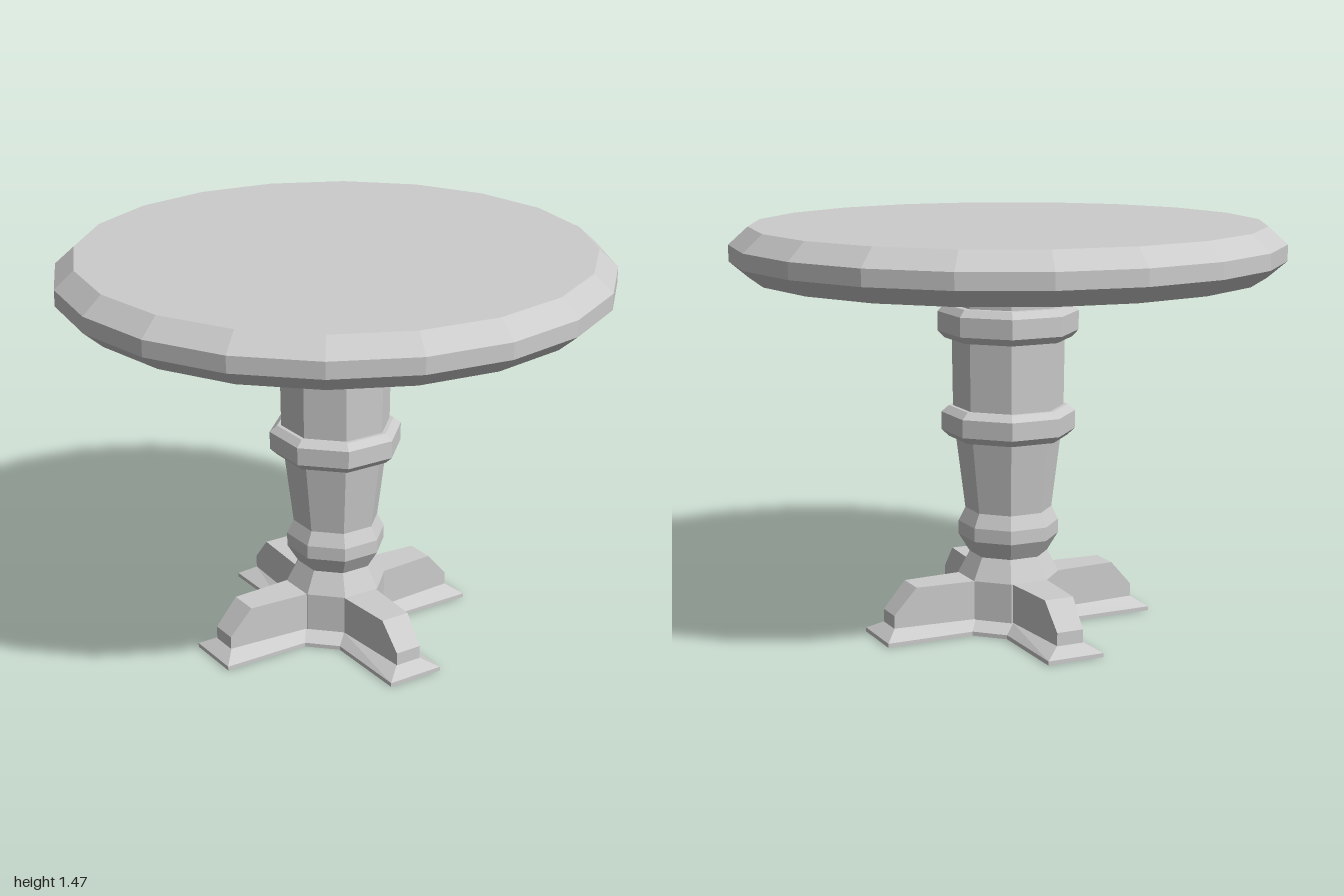
import * as THREE from 'three';

const material = new THREE.MeshStandardMaterial({ color: 0xcccccc, flatShading: true });
const LEG_TURN = THREE.MathUtils.degToRad(-37);

function part(name, geometry) {
  const mesh = new THREE.Mesh(geometry, material);
  mesh.name = name;
  return mesh;
}

// Faceted turned part from [radius, y] pairs, listed bottom to top
function turned(name, profile, sides, phase = 0) {
  const points = profile.map(([r, y]) => new THREE.Vector2(r, y));
  return part(name, new THREE.LatheGeometry(points, sides, phase));
}

// Four-armed outline: inner corner (a, b), arm length and half-width at the tip
function crossRing({ y, a, b, length, w }) {
  const arm = [[a, -b], [length, -w], [length, w], [a, b]];
  const ring = [];
  for (let k = 0; k < 4; k++) {
    const c = Math.round(Math.cos(k * Math.PI / 2)), s = Math.round(Math.sin(k * Math.PI / 2));
    for (const [x, z] of arm) ring.push([x * c - z * s, y, x * s + z * c]);
  }
  return ring;
}

// Skin over a stack of equal-length rings
function loft(rings) {
  const n = rings[0].length, index = [];
  for (let r = 0; r < rings.length - 1; r++) {
    for (let i = 0; i < n; i++) {
      const j = (i + 1) % n, p = r * n, q = p + n;
      index.push(p + i, q + i, q + j, p + i, q + j, p + j);
    }
  }
  const geometry = new THREE.BufferGeometry();
  geometry.setAttribute('position', new THREE.Float32BufferAttribute(rings.flat(2), 3));
  geometry.setIndex(index);
  geometry.computeVertexNormals();
  return geometry;
}

// Side profile of a leg, extruded and narrowed towards the tip
function legGeometry() {
  const shape = new THREE.Shape([[0, 0.02], [0.48, 0.02], [0.48, 0.095], [0.395, 0.19], [0, 0.19]]
    .map(([x, y]) => new THREE.Vector2(x, y)));
  const geometry = new THREE.ExtrudeGeometry(shape, { depth: 2, bevelEnabled: false });
  geometry.translate(0, 0, -1);
  const pos = geometry.attributes.position;
  for (let i = 0; i < pos.count; i++) {
    const halfWidth = THREE.MathUtils.mapLinear(pos.getX(i), 0, 0.48, 0.079, 0.05);
    pos.setZ(i, pos.getZ(i) * halfWidth);
  }
  geometry.computeVertexNormals();
  return geometry;
}

export function createModel() {
  const table = new THREE.Group();
  table.name = 'roundTable';

  // Round top with chamfered rim, very slightly oval
  const top = turned('tableTop', [
    [0, 1.288], [0.93, 1.288], [1, 1.347], [1, 1.405], [0.93, 1.467], [0, 1.467],
  ], 20);
  top.scale.x = 0.982;
  table.add(top);

  // Eight-sided column with two collars and a lower bulge, down to the hub
  const column = turned('column', [
    [0.185, 0.03], [0.185, 0.19], [0.142, 0.27], [0.182, 0.335], [0.182, 0.385], [0.157, 0.435],
    [0.19, 0.7], [0.215, 0.7], [0.242, 0.725], [0.242, 0.79], [0.215, 0.813],
    [0.2, 0.813], [0.203, 1.06], [0.23, 1.06], [0.253, 1.085], [0.253, 1.155], [0.23, 1.18],
    [0.205, 1.18], [0.205, 1.29],
  ], 8, LEG_TURN + Math.PI / 2 + LEG_TURN * -2 - Math.PI / 8 + LEG_TURN * 2);
  column.position.set(-0.005, 0, -0.012);
  table.add(column);

  // Cross-shaped base: foot plate and four legs
  const base = new THREE.Group();
  base.name = 'base';
  base.position.set(-0.01, 0, -0.01);
  base.rotation.y = LEG_TURN;
  base.add(part('footPlate', loft([
    { y: 0, a: 0, b: 0, length: 0, w: 0 },
    { y: 0, a: 0.2, b: 0.107, length: 0.527, w: 0.107 },
    { y: 0.015, a: 0.2, b: 0.107, length: 0.527, w: 0.107 },
    { y: 0.048, a: 0.171, b: 0.069, length: 0.479, w: 0.05 },
  ].map(crossRing))));
  const legShape = legGeometry();
  for (let k = 0; k < 4; k++) {
    const leg = part('leg', legShape);
    leg.rotation.y = k * Math.PI / 2;
    base.add(leg);
  }
  table.add(base);
  return table;
}
